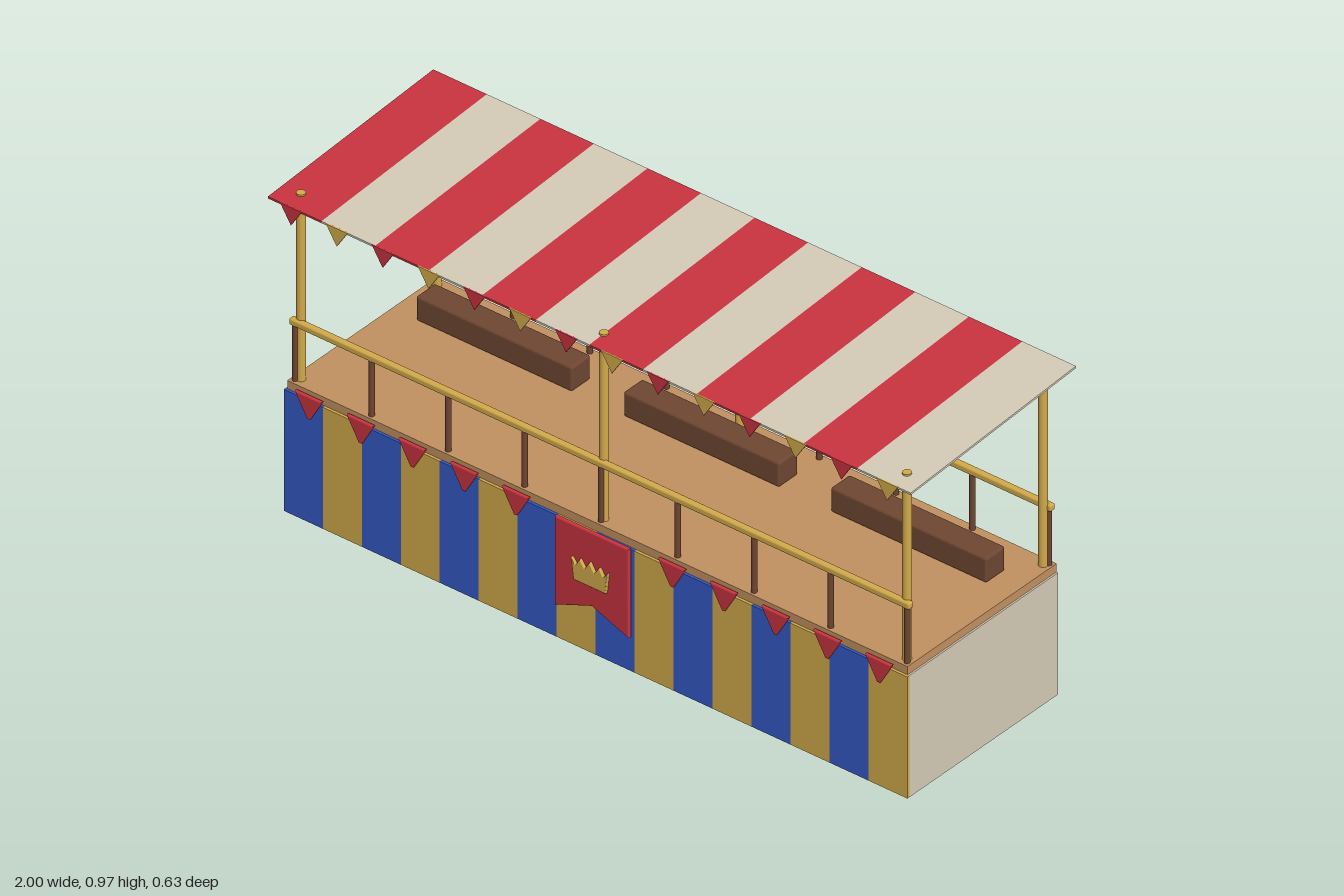
import * as THREE from 'three';
import { RoundedBoxGeometry } from 'three/addons/geometries/RoundedBoxGeometry.js';

const material = (name, color) => Object.assign(new THREE.MeshStandardMaterial({ color }), { name });

export function createModel() {
  const root = new THREE.Group();
  root.name = 'marketStall';
  const red = material('red cloth', 0xc8333f);
  const cream = material('cream cloth', 0xd3cab6);
  const gold = material('gold paint', 0xd2aa4b);
  const blue = material('blue cloth', 0x3459c4);
  const brown = material('dark wood', 0x6e4632);
  const deckWood = material('light wood', 0xc0905f);

  const add = (name, geometry, mat, x, y, z, parent = root) => {
    const mesh = new THREE.Mesh(geometry, mat);
    mesh.name = name;
    mesh.position.set(x, y, z);
    parent.add(mesh);
    return mesh;
  };
  const box = (name, mat, w, h, d, x, y, z, parent) =>
    add(name, new THREE.BoxGeometry(w, h, d), mat, x, y, z, parent);
  // Flat outline extruded along z, centred on its own depth
  const plate = (points, thick, bevel) => {
    const shape = new THREE.Shape(points.map(([x, y]) => new THREE.Vector2(x, y)));
    const geo = new THREE.ExtrudeGeometry(shape, {
      depth: thick - 2 * bevel, bevelEnabled: bevel > 0, bevelSize: bevel,
      bevelThickness: bevel, bevelOffset: -bevel, bevelSegments: 3,
    });
    return geo.translate(0, 0, -(thick - 2 * bevel) / 2);
  };

  // Counter body, end panels and deck
  box('counterBody', brown, 1.9, 0.367, 0.534, 0, 0.1835, 0);
  for (const s of [-1, 1]) box('endPanel', cream, 0.02, 0.356, 0.566, s * 0.96, 0.188, 0);
  box('deck', deckWood, 1.93, 0.024, 0.568, 0, 0.378, 0);

  // Striped front cloth
  const strip = 1.94 / 16;
  for (let i = 0; i < 16; i++) {
    box('frontStripe', i % 2 ? gold : blue, strip, 0.355, 0.008,
      -0.97 + strip * (i + 0.5), 0.188, 0.287);
  }

  // Benches on the deck
  const bench = new RoundedBoxGeometry(0.485, 0.072, 0.073, 3, 0.007);
  for (const x of [-0.645, 0, 0.645]) add('bench', bench, brown, x, 0.425, -0.147);

  // Posts, handrails and balusters along front and back
  const post = new THREE.CylinderGeometry(0.012, 0.012, 0.547, 16);
  const rail = new RoundedBoxGeometry(1.93, 0.019, 0.019, 3, 0.005);
  const baluster = new THREE.CylinderGeometry(0.008, 0.008, 0.17, 12);
  for (const s of [-1, 1]) {
    for (const x of [-0.943, 0, 0.943]) add('post', post, gold, x, 0.6625, s * 0.259);
    add('handrail', rail, gold, 0, 0.56, s * 0.27);
    for (let i = -4; i <= 4; i++) add('baluster', baluster, brown, i * 0.238, 0.47, s * 0.27);
  }

  // Sloping striped canopy
  const canopy = new THREE.Group();
  canopy.name = 'canopy';
  canopy.position.y = 0.944;
  canopy.rotation.x = Math.atan2(0.037, 0.63);
  root.add(canopy);
  for (let i = 0; i < 12; i++) {
    box('canopyStripe', i % 2 ? cream : red, 1 / 6, 0.006, 0.631, -1 + (i + 0.5) / 6, 0, 0, canopy);
  }

  // Small pennants under the canopy edge
  const pennant = plate([[-0.034, 0], [0, -0.053], [0.034, 0]], 0.004, 0.001);
  for (let i = 0; i < 14; i++) {
    add('canopyPennant', pennant, i % 2 ? gold : red, (i - 6.5) * 0.1427, 0.929, 0.315);
  }

  // Red pennants along the deck edge
  const flag = plate([[-0.042, 0.005], [-0.04, 0], [-0.004, -0.062], [0.004, -0.062],
    [0.04, 0], [0.042, 0.005]], 0.011, 0.004);
  for (const s of [-1, 1]) {
    for (let i = 0; i < 5; i++) add('deckPennant', flag, red, s * (0.243 + i * 0.161), 0.38, 0.296);
  }

  // Swallow-tailed banner with a crown
  const banner = plate([[-0.115, 0.375], [-0.115, 0.115], [0, 0.16], [0.115, 0.115], [0.115, 0.375]],
    0.012, 0.004);
  add('banner', banner, red, 0, 0, 0.301);
  const crown = plate([[-0.05, 0.222], [0.05, 0.222], [0.057, 0.285], [0.043, 0.267], [0.03, 0.289],
    [0.015, 0.267], [0, 0.292], [-0.015, 0.267], [-0.03, 0.289], [-0.043, 0.267], [-0.057, 0.285]],
    0.012, 0.003);
  add('crown', crown, gold, 0, 0, 0.31);

  return root;
}
